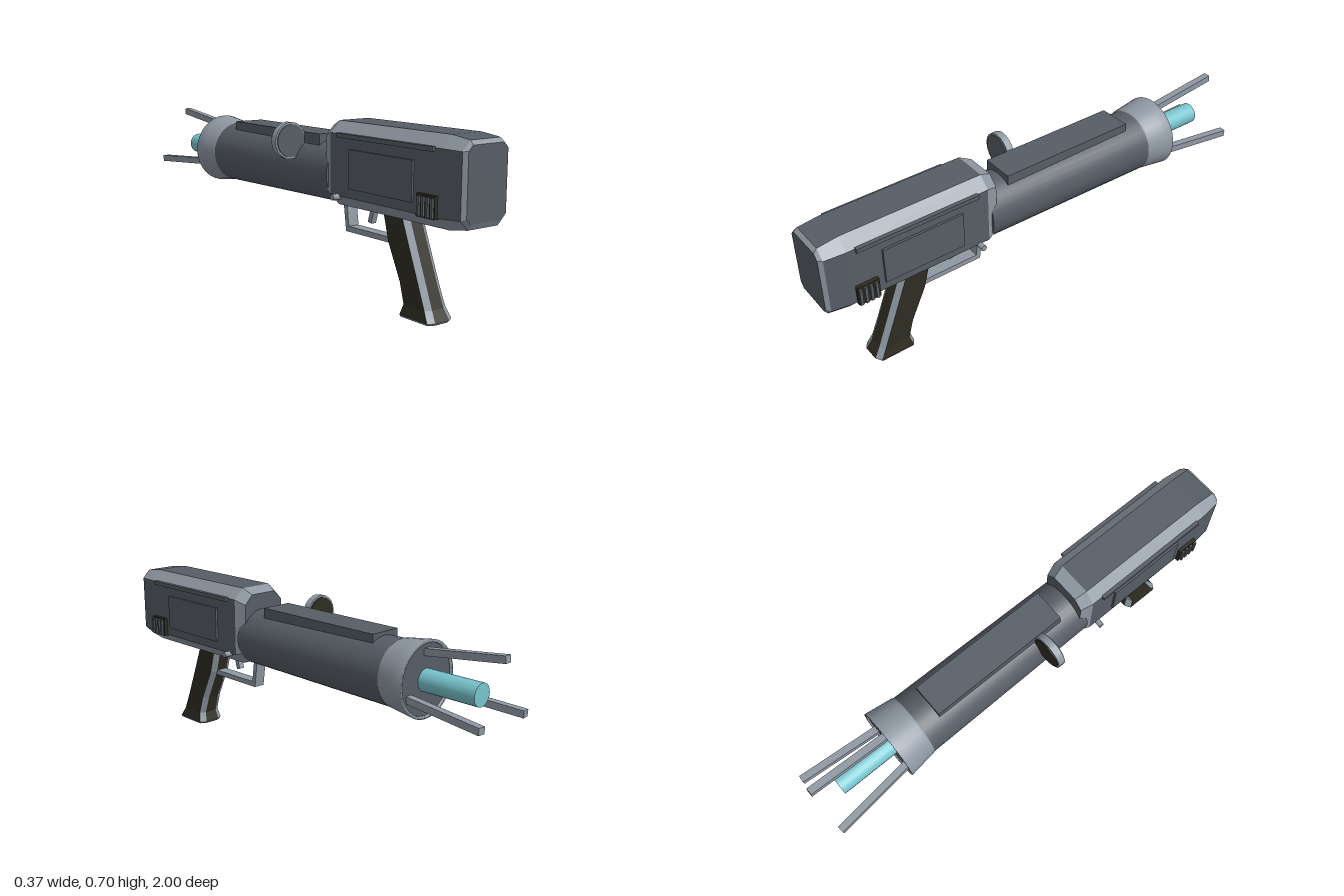
import * as THREE from 'three';

const CX = 0.03, CY = 0.49; // barrel axis

const mat = (name, color, side = THREE.FrontSide) => {
  const m = new THREE.MeshStandardMaterial({ color, side });
  m.name = name;
  return m;
};

// Octagon (rectangle with cut corners), counter-clockwise seen from +z.
// Odd edges are the cut corners.
function octagon([z, x0, x1, y0, y1, cx, cy]) {
  return [
    [x1, y0 + cy], [x1, y1 - cy], [x1 - cx, y1], [x0 + cx, y1],
    [x0, y1 - cy], [x0, y0 + cy], [x0 + cx, y0], [x1 - cx, y0],
  ].map(([x, y]) => new THREE.Vector3(x, y, z));
}

// Faceted loft through octagons from high z to low z; group 0 = faces, group 1 = trim.
function loft(sections, trimRings = []) {
  const rings = sections.map(octagon);
  const faces = [], trim = [];
  for (let s = 0; s < rings.length - 1; s++) {
    const a = rings[s], b = rings[s + 1];
    for (let i = 0; i < 8; i++) {
      const j = (i + 1) % 8;
      const out = i % 2 === 1 || trimRings.includes(s) ? trim : faces;
      out.push(a[i], b[i], b[j], a[i], b[j], a[j]);
    }
  }
  const first = rings[0], last = rings[rings.length - 1];
  for (let i = 1; i < 7; i++) {
    faces.push(first[0], first[i], first[i + 1], last[0], last[i + 1], last[i]);
  }
  const geo = new THREE.BufferGeometry().setFromPoints([...faces, ...trim]);
  geo.addGroup(0, faces.length, 0);
  geo.addGroup(faces.length, trim.length, 1);
  geo.computeVertexNormals();
  return geo;
}

export function createModel() {
  const root = new THREE.Group();
  const dark = mat('gunmetal', 0x575d66);
  const light = mat('lightSteel', 0x8f98a3);
  const black = mat('gripBlack', 0x2e2c22);
  const cyan = mat('energyCyan', 0x78c4ce);

  const add = (name, geo, material, x = 0, y = 0, z = 0) => {
    const m = new THREE.Mesh(geo, material);
    m.name = name;
    m.position.set(x, y, z);
    root.add(m);
    return m;
  };
  const box = (name, material, x0, x1, y0, y1, z0, z1) =>
    add(name, new THREE.BoxGeometry(x1 - x0, y1 - y0, z1 - z0), material,
      (x0 + x1) / 2, (y0 + y1) / 2, (z0 + z1) / 2);
  // Square bar between two points
  const bar = (name, material, a, b, w, d) => {
    const from = new THREE.Vector3(...a), to = new THREE.Vector3(...b);
    const m = add(name, new THREE.BoxGeometry(w, d, from.distanceTo(to)), material);
    m.position.copy(from).add(to).multiplyScalar(0.5);
    m.lookAt(to);
    return m;
  };
  // Cylinder along z, r0 at the +z end
  const tube = (name, material, r0, r1, z0, z1, sides, x = CX, y = CY) =>
    add(name, new THREE.CylinderGeometry(r0, r1, z0 - z1, sides).rotateX(Math.PI / 2),
      material, x, y, (z0 + z1) / 2);

  // Receiver with bevelled edges
  add('receiver', loft([
    [1.0, -0.067, 0.125, 0.41, 0.677, 0.02, 0.02],
    [0.985, -0.08, 0.138, 0.387, 0.692, 0.036, 0.036],
    [0.9, -0.088, 0.147, 0.373, 0.703, 0.045, 0.045],
    [0.3, -0.088, 0.147, 0.373, 0.703, 0.045, 0.045],
    [0.25, -0.072, 0.131, 0.395, 0.68, 0.04, 0.04],
  ], [0, 3]), [dark, light]);

  // Grip, lofted downwards: [height, x0, x1, -z front, -z back, cut]
  const grip = loft([
    [0.40, -0.022, 0.08, -0.645, -0.515, 0.024, 0.016],
    [0.27, -0.022, 0.08, -0.695, -0.55, 0.024, 0.016],
    [0.13, -0.022, 0.08, -0.75, -0.617, 0.024, 0.016],
    [0.05, -0.024, 0.082, -0.783, -0.642, 0.024, 0.016],
    [0.008, -0.033, 0.09, -0.808, -0.63, 0.026, 0.016],
    [0, -0.029, 0.086, -0.803, -0.635, 0.026, 0.016],
  ], [4]);
  add('grip', grip.rotateX(-Math.PI / 2), [black, light]);

  // Trigger and guard
  bar('trigger', light, [CX, 0.39, 0.435], [CX, 0.31, 0.412], 0.025, 0.02);
  bar('guardBottom', light, [CX, 0.267, 0.58], [CX, 0.267, 0.285], 0.05, 0.022);
  bar('guardFront', light, [CX, 0.26, 0.295], [CX, 0.4, 0.275], 0.05, 0.02);

  // Details on both sides of the receiver
  for (const s of [-1, 1]) {
    const side = (name, material, reach, y0, y1, z0, z1) =>
      box(name, material, CX + (s < 0 ? -reach : 0.1), CX + (s < 0 ? -0.1 : reach), y0, y1, z0, z1);
    side('sidePanel', dark, 0.127, 0.455, 0.605, 0.42, 0.765);
    side('sideStrip', dark, 0.13, 0.645, 0.662, 0.348, 0.866);
    side('ventBase', black, 0.133, 0.413, 0.495, 0.795, 0.885);
    for (let i = 0; i < 4; i++) {
      const z = 0.805 + i * 0.022;
      side('ventRib', dark, 0.142, 0.417, 0.488, z, z + 0.011);
    }
    const pin = add('sidePin', new THREE.CylinderGeometry(0.012, 0.012, 0.05, 12),
      light, CX + s * 0.121, 0.414, 0.345);
    pin.rotation.z = Math.PI / 2;
  }

  // Barrel, flared muzzle and its inset end plate
  tube('barrel', dark, 0.123, 0.133, 0.28, -0.53, 32);
  const flare = [[0.13, 0], [0.136, 0.01], [0.145, 0.08], [0.152, 0.13], [0.14, 0.13], [0.14, 0.122]]
    .map(([r, h]) => new THREE.Vector2(r, h));
  const muzzle = mat('muzzleSteel', 0x8f98a3, THREE.DoubleSide);
  add('muzzle', new THREE.LatheGeometry(flare, 32).rotateX(-Math.PI / 2), muzzle, CX, CY + 0.002, -0.525);
  tube('muzzlePlate', dark, 0.13, 0.142, -0.54, -0.648, 32);

  // Top rail
  box('topRail', dark, CX - 0.072, CX + 0.068, 0.575, 0.637, -0.445, 0.17);

  // Round sight on the right of the barrel
  tube('sightRim', light, 0.075, 0.075, 0.07, 0.04, 20, -0.11, 0.605);
  tube('sightFront', dark, 0.067, 0.067, 0.074, 0.069, 20, -0.11, 0.605);
  tube('sightBack', black, 0.067, 0.067, 0.041, 0.036, 20, -0.11, 0.605);

  // Energy rod and three spreading prongs
  tube('energyRod', cyan, 0.045, 0.045, -0.6, -0.9, 20);
  for (let i = 0; i < 3; i++) {
    const a = Math.PI / 2 + i * Math.PI * 2 / 3;
    const at = (r, z) => [CX + r * Math.cos(a), CY + r * Math.sin(a), z];
    bar('prong', light, at(0.105, -0.62), at(0.15, -0.998), 0.03, 0.028);
  }
  return root;
}
